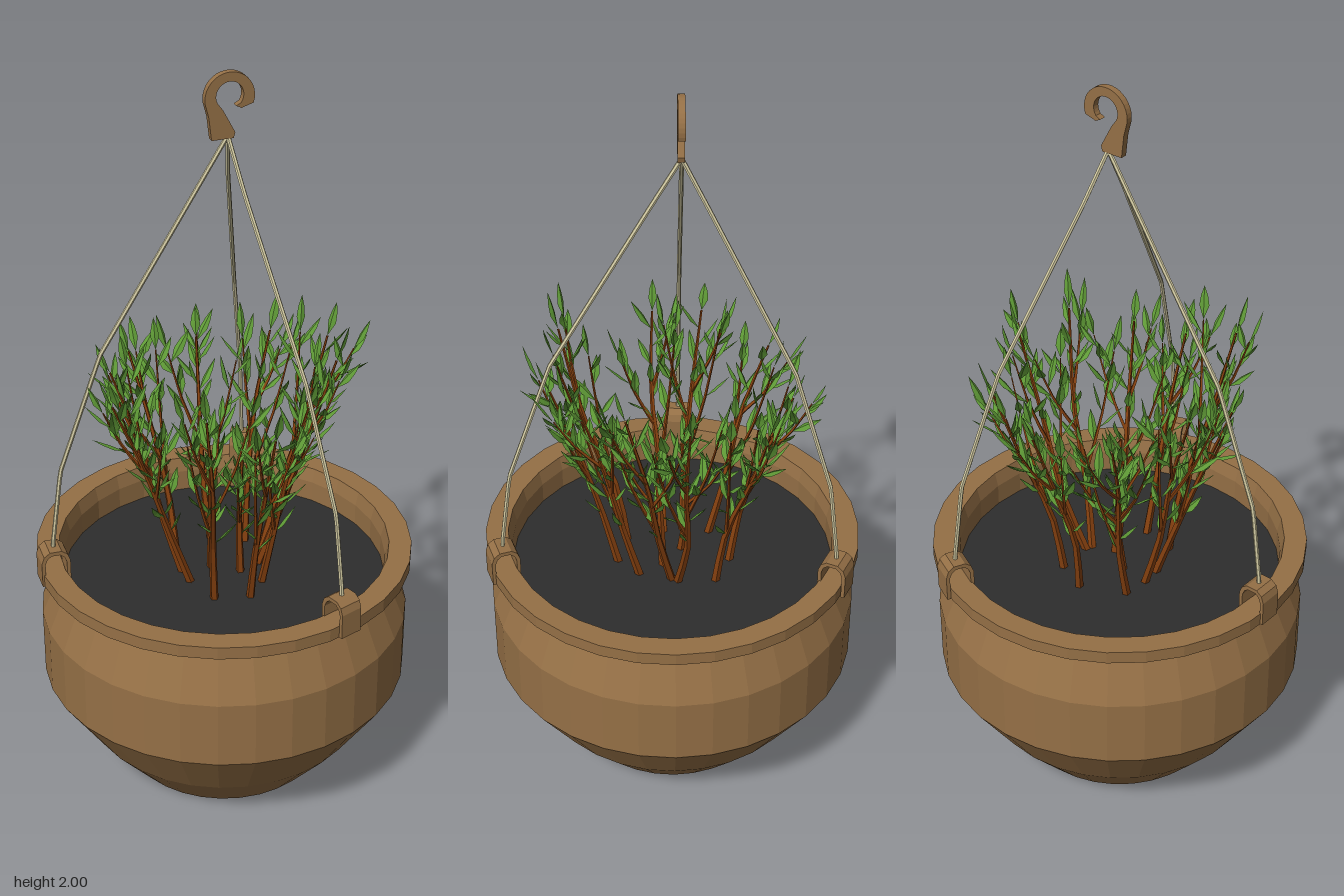
import * as THREE from 'three';
import { mergeGeometries } from 'three/addons/utils/BufferGeometryUtils.js';

const V = (x, y, z) => new THREE.Vector3(x, y, z);
const mat = (color, side = THREE.FrontSide) =>
  new THREE.MeshStandardMaterial({ color, flatShading: true, side });

const clay = mat(0x957046, THREE.DoubleSide);
const soilMat = mat(0x2e2e2e);
const ropeMat = mat(0xd0c8a0);
const barkMat = mat(0x85400f);
const leafMat = mat(0x5f9a36, THREE.DoubleSide);

let seed = 7;
const rand = (a = 0, b = 1) => {
  seed = (seed * 16807) % 2147483647;
  return a + (b - a) * (seed / 2147483647);
};

function add(parent, name, geometry, material) {
  const mesh = new THREE.Mesh(geometry, material);
  mesh.name = name;
  parent.add(mesh);
  return mesh;
}

// Tube whose radius shrinks from r0 to r1 along the curve
function taperedTube(curve, segments, r0, r1, sides = 5) {
  const g = new THREE.TubeGeometry(curve, segments, 1, sides);
  const pos = g.attributes.position;
  const p = V(0, 0, 0), c = V(0, 0, 0);
  for (let i = 0; i < pos.count; i++) {
    const t = Math.floor(i / (sides + 1)) / segments;
    curve.getPointAt(t, c);
    p.fromBufferAttribute(pos, i).sub(c).multiplyScalar(r0 + (r1 - r0) * t).add(c);
    pos.setXYZ(i, p.x, p.y, p.z);
  }
  return g;
}

// Slightly folded, pointed leaf growing from `at` along `dir`, its face turned upward
function leaf(at, dir, length, width) {
  const g = new THREE.BufferGeometry();
  g.setAttribute('position', new THREE.Float32BufferAttribute([
    0, 0, 0, width, length * 0.4, 0.004, width * 0.7, length * 0.7, 0.003, 0, length, 0,
    -width * 0.7, length * 0.7, 0.003, -width, length * 0.4, 0.004, 0, length * 0.5, -0.002,
  ], 3));
  g.setIndex([0, 1, 6, 1, 2, 6, 2, 3, 6, 3, 4, 6, 4, 5, 6, 5, 0, 6]);
  const side = V(dir.z, 0, -dir.x).normalize();
  const face = side.clone().cross(dir);
  g.rotateY(rand(-0.5, 0.5));
  g.applyMatrix4(new THREE.Matrix4().makeBasis(side, dir, face).setPosition(at));
  g.computeVertexNormals();
  return g;
}

// Leaves scattered around a twig, leaning away from it, with one at its tip
function leavesAlong(curve, count, start, out) {
  for (let i = 0; i <= count; i++) {
    const t = start + (1 - start) * (i / count);
    const dir = curve.getTangentAt(t);
    if (i < count) {
      const a = i * 2.4 + rand(0, 0.8), s = rand(0.45, 0.95);
      dir.add(V(Math.cos(a) * s, rand(0, 0.2), Math.sin(a) * s)).normalize();
    }
    out.push(leaf(curve.getPointAt(t), dir, rand(0.075, 0.11), rand(0.01, 0.014)));
  }
}

function createPlant() {
  const plant = new THREE.Group();
  plant.name = 'plant';
  // Base x, z and top x, z of each stem
  const stems = [
    [0.01, -0.15, 0.03, -0.32], [0.1, -0.11, 0.22, -0.25], [-0.09, -0.1, -0.17, -0.25],
    [-0.11, -0.03, -0.28, -0.09], [-0.1, 0.025, -0.33, 0.06], [-0.08, 0.12, -0.15, 0.3],
    [0.01, 0.15, 0.03, 0.32], [0.08, 0.09, 0.14, 0.25], [0.09, 0.01, 0.27, 0.11],
    [0.11, -0.02, 0.31, -0.05], [0.03, 0.03, 0.05, 0.05], [-0.02, -0.03, -0.04, -0.04],
  ];
  stems.forEach(([x, z, tx, tz], n) => {
    const wood = [], leaves = [];
    const inner = n >= 10;
    const top = 1.19 + rand(-0.05, 0.05) - (inner ? 0.28 : 0);
    const at = (f, y) => V(x + (tx - x) * f + rand(-0.012, 0.012), y, z + (tz - z) * f + rand(-0.012, 0.012));
    const main = new THREE.CatmullRomCurve3([
      at(0, 0.57), at(0.25, 0.76), at(0.6, 0.97), at(1, top),
    ]);
    wood.push(taperedTube(main, 7, 0.012, 0.003));
    leavesAlong(main, 9, 0.3, leaves);

    // Side twigs fan out and turn upward
    const heading = Math.atan2(tz, tx);
    const twigs = inner ? [[0.4, 1.1]] : [[0.32, 0.9], [0.5, -0.9], [0.65, 0.4]];
    twigs.forEach(([t, turn]) => {
      const p = main.getPointAt(t), a = heading + turn + rand(-0.4, 0.4);
      const r = rand(0.09, 0.13), h = (top - p.y) * rand(0.7, 1);
      const twig = new THREE.CatmullRomCurve3([
        p, V(p.x + Math.cos(a) * r * 0.55, p.y + h * 0.45, p.z + Math.sin(a) * r * 0.55),
        V(p.x + Math.cos(a) * r, p.y + h, p.z + Math.sin(a) * r),
      ]);
      wood.push(taperedTube(twig, 4, 0.006, 0.002, 4));
      leavesAlong(twig, 6, 0.25, leaves);
    });
    add(plant, `stem${n + 1}`, mergeGeometries(wood), barkMat);
    add(plant, `leaves${n + 1}`, mergeGeometries(leaves), leafMat);
  });
  return plant;
}

// Inverted U of bent strip, its plane running outward along +x
function clipGeometry() {
  const s = new THREE.Shape([
    [-0.039, 0.645], [-0.039, 0.715], [-0.032, 0.735], [-0.016, 0.747], [0.016, 0.747], [0.032, 0.735],
    [0.039, 0.715], [0.039, 0.645], [0.029, 0.645], [0.029, 0.712], [0.023, 0.727], [0.012, 0.736],
    [-0.012, 0.736], [-0.023, 0.727], [-0.029, 0.712], [-0.029, 0.645],
  ].map(([x, y]) => new THREE.Vector2(x, y)));
  return new THREE.ExtrudeGeometry(s, { depth: 0.064, bevelEnabled: false }).translate(0, 0, -0.032);
}

// Flat hook: tapered shank running into a downward-facing crook
function hookGeometry() {
  const s = new THREE.Shape();
  s.moveTo(-0.028, 1.83);
  s.lineTo(0.03, 1.83);
  s.lineTo(0.034, 1.845);
  s.lineTo(0.002, 1.905);
  s.absarc(0.02, 1.94, 0.036, Math.PI * 1.15, -Math.PI * 0.2, true);
  s.lineTo(0.036, 1.912);
  s.lineTo(0.05, 1.905);
  s.absarc(0.02, 1.935, 0.065, -Math.PI * 0.1, Math.PI * 1.05, false);
  s.lineTo(-0.035, 1.89);
  s.closePath();
  return new THREE.ExtrudeGeometry(s, { depth: 0.018, bevelEnabled: false, curveSegments: 10 })
    .translate(0, 0, -0.03);
}

export function createModel() {
  const model = new THREE.Group();
  model.name = 'hangingPlanter';

  // Pot with wide lip, turned inward down to the soil
  const profile = [
    [0, 0], [0.28, 0], [0.39, 0.13], [0.503, 0.3], [0.503, 0.49], [0.445, 0.63], [0.5, 0.64],
    [0.511, 0.645], [0.511, 0.68], [0.45, 0.68], [0.44, 0.64], [0.44, 0.57],
  ].map(([r, y]) => new THREE.Vector2(r, y));
  add(model, 'pot', new THREE.LatheGeometry(profile, 32), clay);
  add(model, 'soil', new THREE.CircleGeometry(0.442, 32).rotateX(-Math.PI / 2).translate(0, 0.58, 0), soilMat);

  // Three rim clips, each with a slack rope rising to the hook
  const apex = V(0.018, 1.835, -0.022);
  [[-0.475, -0.025, 0], [0.217, -0.43, -0.014], [0.15, 0.455, -0.014]].forEach(([x, z, bow], i) => {
    const clip = add(model, `rimClip${i + 1}`, clipGeometry(), clay);
    clip.position.set(x, 0, z);
    clip.rotation.y = -Math.atan2(z, x);
    const points = [[0, 1.835], [0.16, 1.71], [0.7, 1.29], [0.94, 0.97], [1, 0.75], [1, 0.735]]
      .map(([f, y]) => V(
        apex.x + (x - apex.x) * f + bow * Math.sin(f * Math.PI), y, apex.z + (z - apex.z) * f));
    const path = new THREE.CurvePath();
    for (let k = 1; k < points.length; k++) path.add(new THREE.LineCurve3(points[k - 1], points[k]));
    add(model, `rope${i + 1}`, new THREE.TubeGeometry(path, 40, 0.006, 6), ropeMat);
  });
  add(model, 'hook', hookGeometry(), clay);

  model.add(createPlant());
  return model;
}
